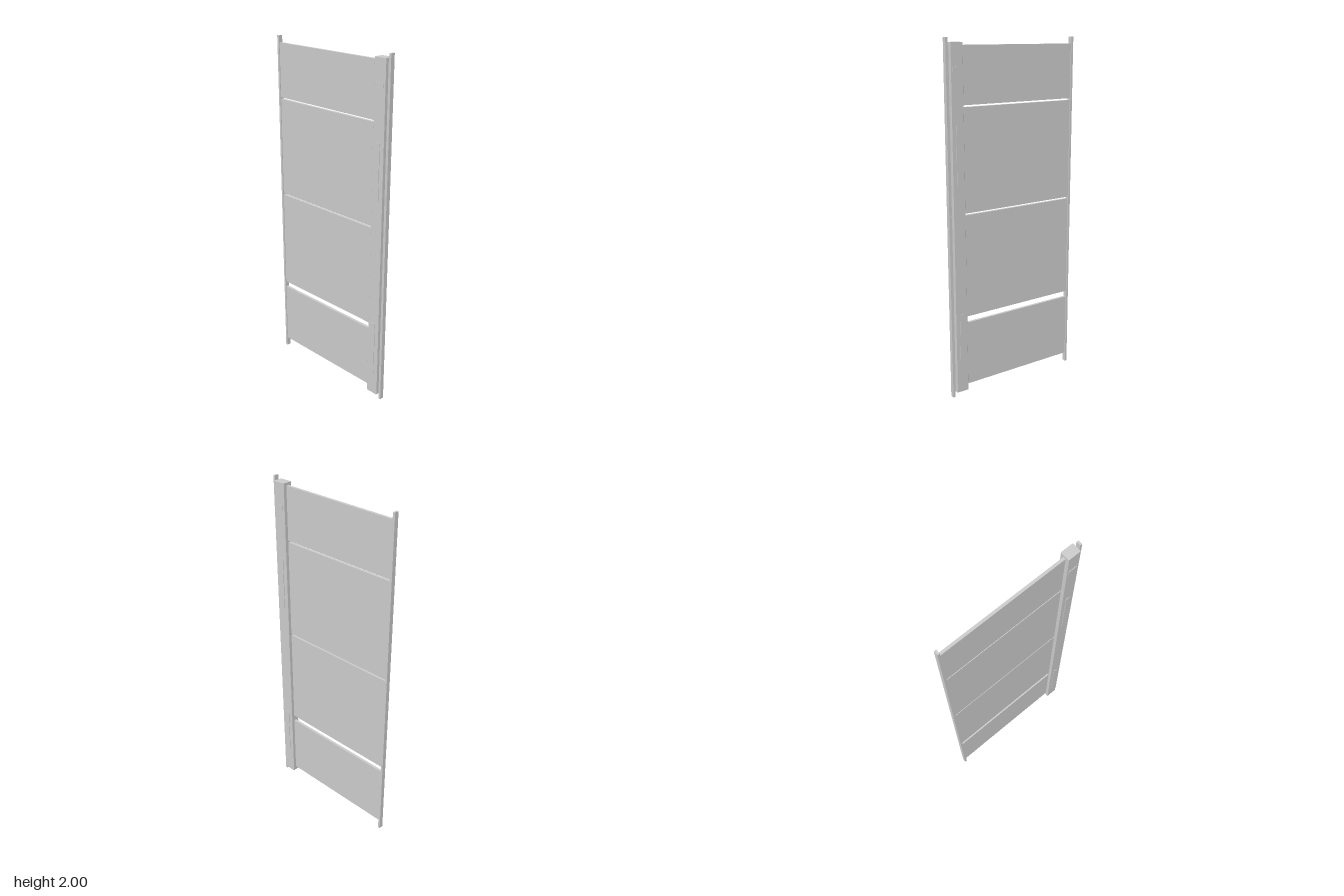
import * as THREE from 'three';

export function createModel() {
  const door = new THREE.Group();
  door.name = 'slattedDoor';
  const material = new THREE.MeshStandardMaterial({ color: 0xcccccc });

  // Box given by its half width in x and its limits in y and z
  function addBox(name, halfX, y0, y1, z0, z1) {
    const mesh = new THREE.Mesh(new THREE.BoxGeometry(halfX * 2, y1 - y0, z1 - z0), material);
    mesh.position.set(0, (y0 + y1) / 2, (z0 + z1) / 2);
    mesh.name = name;
    door.add(mesh);
    return mesh;
  }

  // Four thin panels with open gaps between them
  [[0.056, 0.435], [0.472, 1.061], [1.071, 1.645], [1.655, 1.962]].forEach(([y0, y1], i) =>
    addBox(`panel${i + 1}`, 0.0077, y0, y1, -0.404, 0.404));

  // Full-height edge rails
  addBox('frontRail', 0.0125, 0, 2, 0.403, 0.416);
  addBox('backRail', 0.0125, 0, 2, -0.416, -0.403);

  // Thick post with slightly eased vertical corners
  const hx = 0.0275, hz = 0.037, c = 0.002;
  const outline = new THREE.Shape([
    [-hx + c, -hz], [hx - c, -hz], [hx, -hz + c], [hx, hz - c],
    [hx - c, hz], [-hx + c, hz], [-hx, hz - c], [-hx, -hz + c],
  ].map(([x, y]) => new THREE.Vector2(x, y)));
  const postGeometry = new THREE.ExtrudeGeometry(outline, { depth: 1.946, bevelEnabled: false });
  postGeometry.rotateX(-Math.PI / 2);
  const post = new THREE.Mesh(postGeometry, material);
  post.position.set(0, 0.031, 0.36);
  post.name = 'post';
  door.add(post);

  // Raised strips on both faces of the post: two long grips and a short plate
  for (const [side, s] of [['left', 1], ['right', -1]]) {
    for (const [name, y0, y1, z0, z1] of [
      ['LowerGrip', 0.17, 0.5, 0.348, 0.372],
      ['UpperGrip', 1.22, 1.55, 0.348, 0.372],
      ['LatchPlate', 1.83, 1.857, 0.334, 0.386],
    ]) {
      addBox(side + name, 0.002, y0, y1, z0, z1).position.x = s * 0.0285;
    }
  }
  return door;
}
